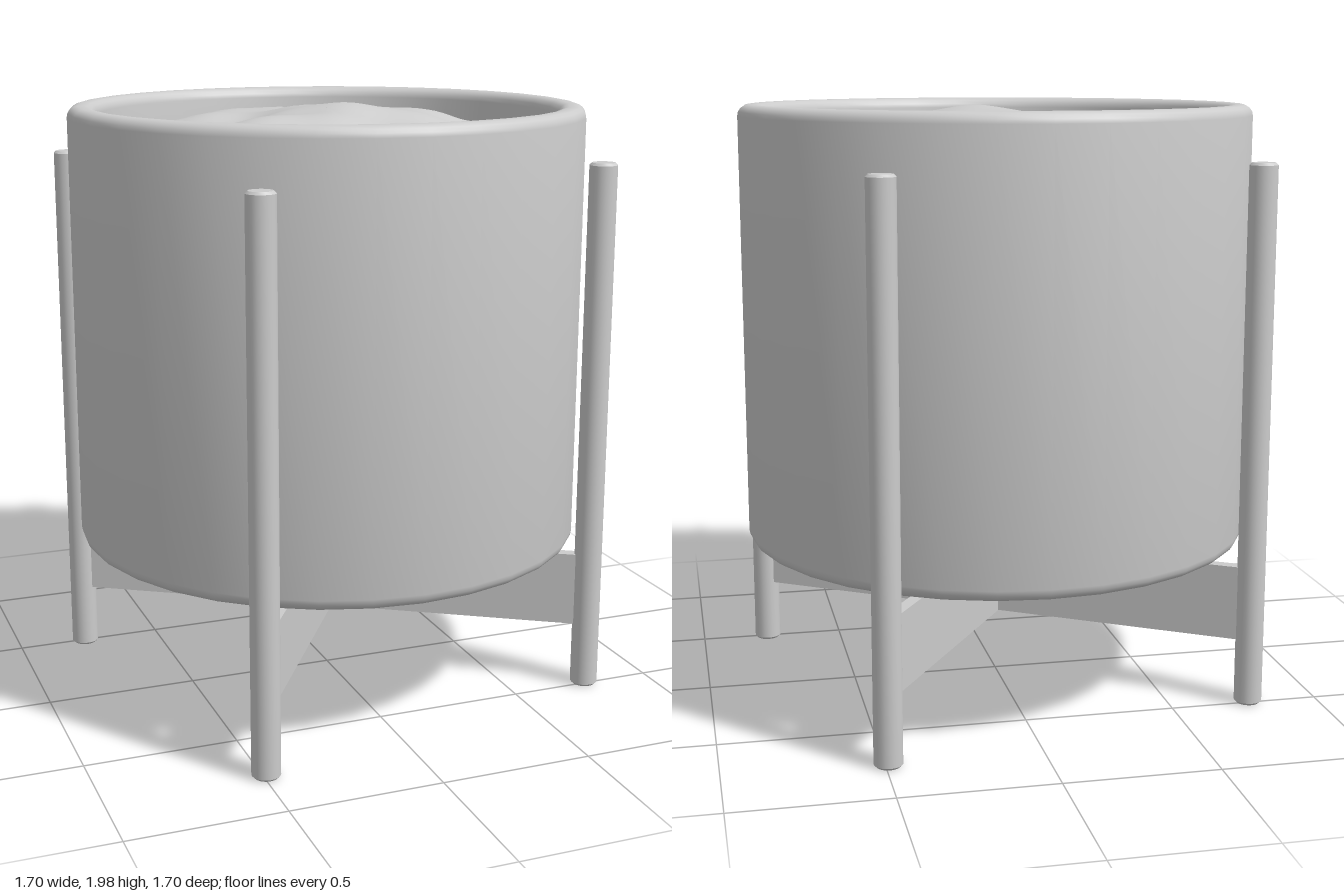
import * as THREE from 'three';
import { toCreasedNormals } from 'three/addons/utils/BufferGeometryUtils.js';

const SEGMENTS = 32;
const LEG_ANGLE = Math.atan2(0.49, 0.765);

// Revolves [radius, height] pairs, listed from the bottom up the outside
function turned(points, segments) {
  const profile = points.map(([r, y]) => new THREE.Vector2(r, y));
  return toCreasedNormals(new THREE.LatheGeometry(profile, segments), 0.6);
}

// Points of a quarter-round edge between two angles
function fillet(cx, cy, radius, from, to, steps = 4) {
  return Array.from({ length: steps + 1 }, (_, i) => {
    const a = from + ((to - from) * i) / steps;
    return [cx + radius * Math.cos(a), cy + radius * Math.sin(a)];
  });
}

// Height of the lumpy soil mound
function soilHeight(x, z) {
  const r = Math.min(1, Math.hypot(x, z) / 0.755);
  const dome = 1.8 + 0.135 * Math.sqrt(1 - r * r);
  const waves =
    0.016 * Math.sin(5.2 * x + 3.1 * z + 0.8) * Math.cos(6.3 * z - 1.7 * x + 0.4) +
    0.012 * Math.sin(11 * z + 4 * x + 1.3) +
    0.007 * Math.sin(17 * x - 9 * z) * Math.cos(21 * z + 5 * x);
  const peak = 0.035 * Math.exp(-(x * x + (z + 0.2) ** 2) / 0.02);
  const hollow = 0.025 * Math.exp(-((x - 0.1) ** 2 + (z - 0.35) ** 2) / 0.04);
  return Math.min(2, dome + waves + peak - hollow);
}

// Disc of rings whose heights follow the mound
function soilGeometry() {
  const geometry = new THREE.RingGeometry(0.001, 0.755, 64, 24);
  geometry.rotateX(-Math.PI / 2);
  const p = geometry.attributes.position;
  for (let i = 0; i < p.count; i++) p.setY(i, soilHeight(p.getX(i), p.getZ(i)));
  return toCreasedNormals(geometry, 0.9);
}

export function createModel() {
  const model = new THREE.Group();
  model.name = 'planterOnStand';
  const grey = new THREE.MeshStandardMaterial({ name: 'grey', color: 0xcccccc });

  const add = (name, geometry) => {
    const mesh = new THREE.Mesh(geometry, grey);
    mesh.name = name;
    model.add(mesh);
    return mesh;
  };

  // Pot with a stepped foot, rounded edges and a hollow top
  const Q = Math.PI / 2;
  add('pot', turned([
    [0, 0.47], [0.675, 0.47], [0.685, 0.48], [0.685, 0.515],
    ...fillet(0.81, 0.555, 0.04, -Q, 0),
    ...fillet(0.815, 1.94, 0.035, 0, Q),
    ...fillet(0.795, 1.94, 0.035, Q, 2 * Q),
    [0.76, 1.65], [0, 1.65],
  ], SEGMENTS));

  // Soil mound
  add('soil', soilGeometry());

  // Four round legs with softened ends
  const leg = turned([
    [0, 0], [0.038, 0], [0.046, 0.008], [0.046, 1.792], [0.038, 1.8], [0, 1.8],
  ], 20);
  for (let i = 0; i < 4; i++) {
    const a = LEG_ANGLE + i * Q;
    add('leg' + (i + 1), leg).position.set(0.91 * Math.cos(a), 0, 0.91 * Math.sin(a));
  }

  // Two crossed bars carrying the pot
  const bar = new THREE.BoxGeometry(1.79, 0.25, 0.04);
  for (let i = 0; i < 2; i++) {
    const mesh = add('crossBar' + (i + 1), bar);
    mesh.position.y = 0.345;
    mesh.rotation.y = -(LEG_ANGLE + i * Q);
  }

  return model;
}
